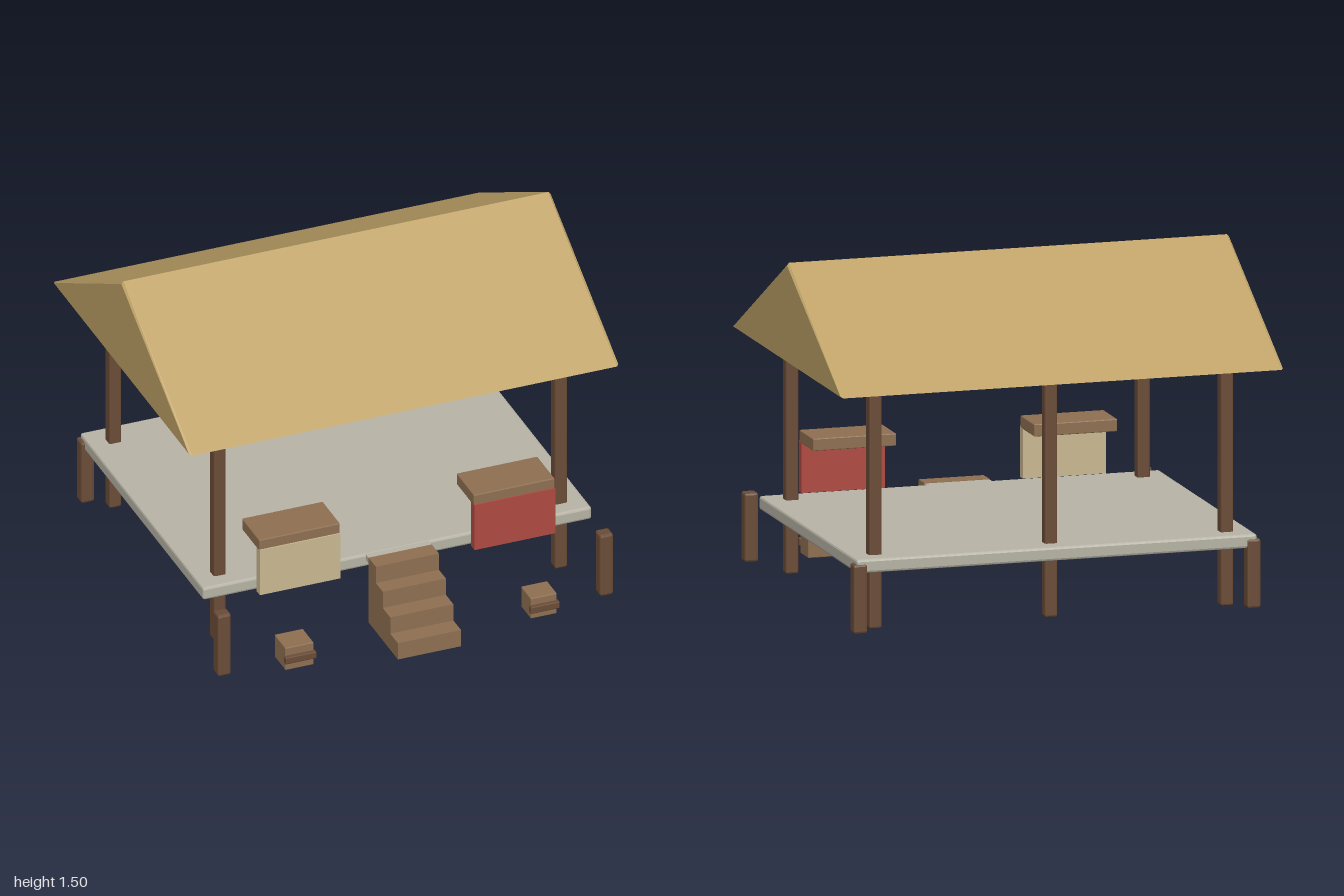
import * as THREE from 'three';
import { RoundedBoxGeometry } from 'three/addons/geometries/RoundedBoxGeometry.js';

const paint = (color) => new THREE.MeshStandardMaterial({ color, flatShading: true });

export function createModel() {
  const model = new THREE.Group();
  const darkWood = paint(0x6b4c37);
  const wood = paint(0x8f7052);
  const thatch = paint(0xbda166);
  const stone = paint(0xb8b4a6);
  const red = paint(0xb04a42);
  const cream = paint(0xcbb992);

  // Box given by its extents; a bevel chamfers all its edges
  function block(name, material, [x0, x1], [y0, y1], [z0, z1], bevel = 0) {
    const size = [x1 - x0, y1 - y0, z1 - z0];
    const geometry = bevel
      ? new RoundedBoxGeometry(...size, 1, bevel)
      : new THREE.BoxGeometry(...size);
    const mesh = new THREE.Mesh(geometry, material);
    mesh.name = name;
    mesh.position.set((x0 + x1) / 2, (y0 + y1) / 2, (z0 + z1) / 2);
    model.add(mesh);
  }
  const around = (c, width) => [c - width / 2, c + width / 2];

  // Gable roof: closed triangular prism with slightly bevelled ends
  const bevel = 0.01;
  const gable = new THREE.Shape([
    new THREE.Vector2(-0.648, 1.06),
    new THREE.Vector2(0.925, 1.06),
    new THREE.Vector2(0.139, 1.5),
  ]);
  const roofGeometry = new THREE.ExtrudeGeometry(gable, {
    depth: 2 - 2 * bevel, bevelEnabled: true, bevelSegments: 1,
    bevelSize: bevel, bevelThickness: bevel, bevelOffset: -bevel,
  });
  roofGeometry.translate(0, 0, bevel - 1).rotateY(Math.PI / 2);
  const roof = new THREE.Mesh(roofGeometry, thatch);
  roof.name = 'roof';
  model.add(roof);

  // Raised floor and the small sill joining it to the stairs
  block('deck', stone, [-0.905, 0.905], [0.265, 0.325], [-0.845, 0.565], 0.01);
  block('sill', stone, [-0.147, 0.147], [0.298, 0.324], [0.54, 0.6]);

  // Roof posts: two in front, three at the back
  for (const [x, z] of [[-0.795, 0.46], [0.795, 0.46], [-0.795, -0.735], [0, -0.735], [0.795, -0.735]]) {
    block('roofPost', darkWood, around(x, 0.057), [0, 1.06], around(z, 0.057), 0.008);
  }

  // Short corner posts
  for (const x of [-0.89, 0.89]) {
    for (const z of [0.745, -0.82]) {
      block('shortPost', darkWood, around(x, 0.062), [0, 0.305], around(z, 0.062), 0.01);
    }
  }

  // Stairs: solid steps rising towards the deck
  const fronts = [0.93, 0.843, 0.757, 0.678, 0.595];
  for (let i = 0; i < 4; i++) {
    block('step', wood, [-0.147, 0.147], [0, 0.0815 * (i + 1)], [fronts[i + 1], fronts[i]]);
  }

  // Counters with a hanging cloth panel
  for (const [x, cloth] of [[-0.5, cream], [0.5, red]]) {
    block('counterTop', wood, around(x, 0.376), [0.525, 0.58], [0.475, 0.674], 0.004);
    block('counterCloth', cloth, around(x, 0.376), [0.307, 0.533], [0.64, 0.68]);
  }

  // Crates with a slat across the front
  for (const [x, width, height, back] of [[-0.565, 0.132, 0.112, 0.707], [0.573, 0.122, 0.102, 0.72]]) {
    block('crate', wood, around(x, width), [0, height], [back, 0.832], 0.004);
    block('crateSlat', darkWood, around(x, width + 0.012), around(height / 2, 0.034), [0.825, 0.85], 0.004);
  }

  return model;
}
